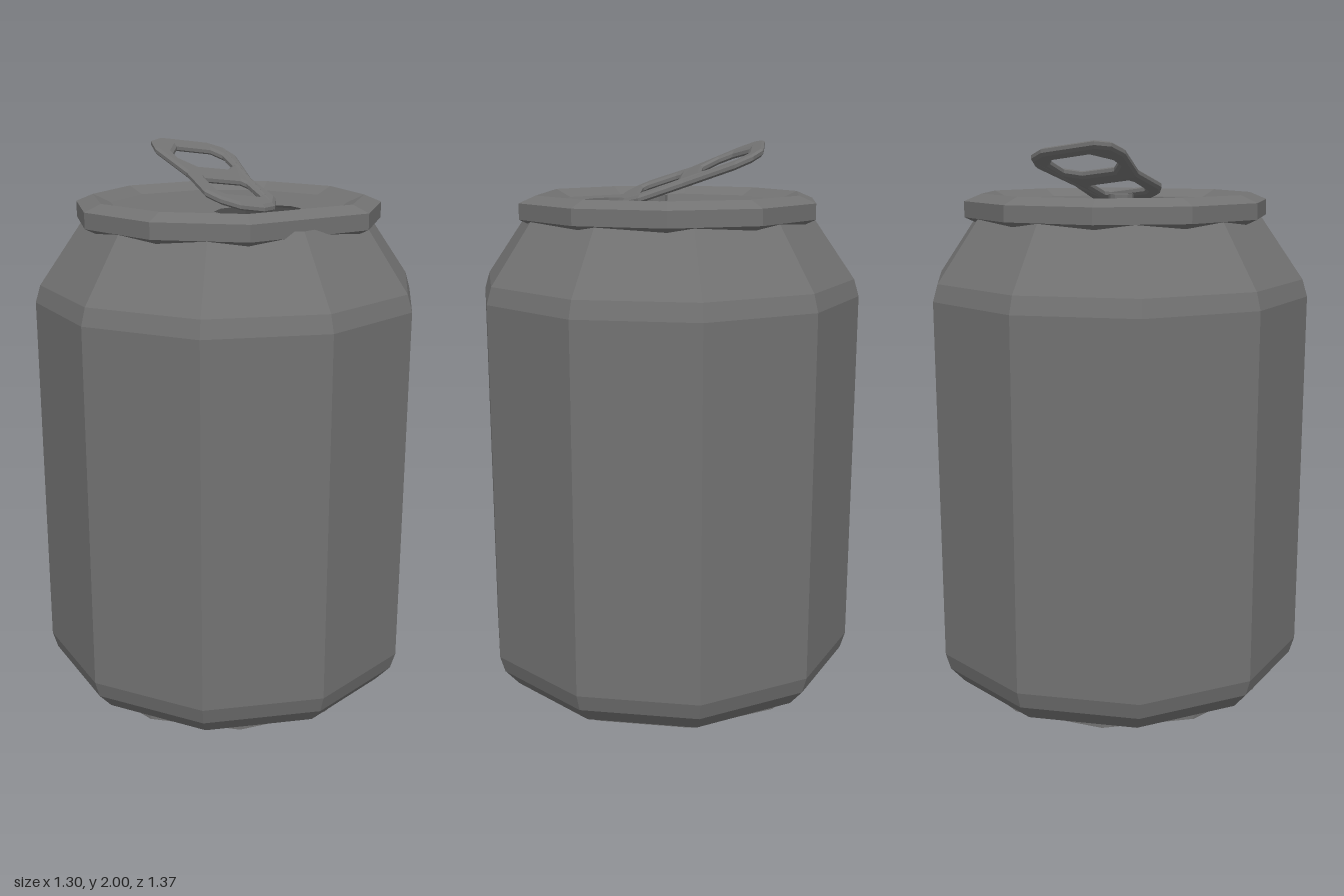
import * as THREE from 'three';

const material = new THREE.MeshStandardMaterial({
  color: 0x727272, flatShading: true, side: THREE.DoubleSide,
});

const points = (list) => list.map(([a, b]) => new THREE.Vector2(a, b));
// plan coordinates are [x, z]; shapes are drawn with y = -z and laid flat
const plan = (list) => points(list.map(([x, z]) => [x, -z]));

// ten uneven steps around the rim: nine of 2/21 turn and one wide one at the front
const rimAngles = Array.from({ length: 11 }, (_, i) =>
  Math.PI * (i < 10 ? 1 / 6 + (i * 4) / 21 : 13 / 6));

function rimLathe(profile) {
  const geometry = new THREE.LatheGeometry(points(profile), 10);
  const position = geometry.attributes.position;
  for (let k = 0; k < position.count; k++) {
    const angle = rimAngles[Math.floor(k / profile.length)];
    const r = profile[k % profile.length][0];
    position.setX(k, r * Math.sin(angle));
    position.setZ(k, r * Math.cos(angle));
  }
  return geometry;
}

export function createModel() {
  const group = new THREE.Group();
  const add = (name, geometry) => {
    const mesh = new THREE.Mesh(geometry, material);
    mesh.name = name;
    group.add(mesh);
    return mesh;
  };

  // ten-sided body with chamfered base and tapered neck
  add('body', new THREE.LatheGeometry(points([
    [0.53, 0.055], [0.615, 0.05], [0.667, 0.11], [0.685, 0.17],
    [0.685, 1.46], [0.667, 1.52], [0.503, 1.755],
  ]), 10));

  // eleven-sided foot ring with recessed base plate
  add('base', new THREE.LatheGeometry(points([
    [0, 0.03], [0.43, 0.03], [0.507, 0], [0.577, 0.03], [0.577, 0.05], [0.52, 0.062],
  ]), 11, -Math.PI / 2));

  // raised rim with a gentle inner slope
  add('rim', rimLathe([
    [0.46, 1.735], [0.5, 1.715], [0.543, 1.735], [0.543, 1.79], [0.482, 1.815], [0.42, 1.787],
  ]));

  // sunken lid with the drinking hole
  const lid = new THREE.Shape(plan(rimAngles.slice(0, 10).map((a) =>
    [0.42 * Math.sin(a), 0.42 * Math.cos(a)])));
  const opening = Array.from({ length: 10 }, (_, i) => {
    const a = (i / 10) * Math.PI * 2 + 0.3;
    return [0.005 + 0.158 * Math.cos(a), 0.2 + 0.112 * Math.sin(a)];
  });
  lid.holes.push(new THREE.Path(plan(opening)));
  add('lid', new THREE.ShapeGeometry(lid).rotateX(-Math.PI / 2).translate(0, 1.787, 0));

  // rivet under the pull tab
  add('rivet', new THREE.CylinderGeometry(0.045, 0.045, 0.022, 12))
    .position.set(0.005, 1.797, 0.044);

  // pull tab: waisted plate with two openings
  const tab = new THREE.Shape(plan([
    [-0.167, -0.236], [-0.153, -0.302], [-0.105, -0.335], [0.095, -0.345],
    [0.153, -0.316], [0.175, -0.255], [0.138, -0.073], [0.149, 0.08],
    [0.105, 0.145], [0.05, 0.171], [-0.044, 0.171], [-0.105, 0.135],
    [-0.138, 0.084], [-0.127, -0.069],
  ]));
  // openings run against the outline so that their bevels widen outwards
  tab.holes.push(
    new THREE.Path(plan([
      [-0.105, -0.22], [-0.105, -0.171], [-0.058, -0.12], [0.065, -0.127],
      [0.113, -0.171], [0.116, -0.255], [0.084, -0.29], [-0.058, -0.284],
    ])),
    new THREE.Path(plan([
      [-0.07, -0.038], [-0.077, -0.02], [-0.077, 0.08], [-0.062, 0.097],
      [0.07, 0.09], [0.09, 0.073], [0.09, -0.028], [0.076, -0.046],
    ])),
  );
  const tabGeometry = new THREE.ExtrudeGeometry(tab, {
    depth: 0.012, bevelEnabled: true, bevelSegments: 1,
    bevelThickness: 0.008, bevelSize: 0.01, bevelOffset: -0.01,
  }).rotateX(-Math.PI / 2);
  // lift the tab towards the back, leaning sideways, a little flatter in front of the waist
  const position = tabGeometry.attributes.position;
  for (let k = 0; k < position.count; k++) {
    const z = position.getZ(k) + 0.07;
    position.setY(k, position.getY(k) + 1.863
      - 0.15 * position.getX(k) - (z < 0 ? 0.38 : 0.33) * z);
  }
  tabGeometry.computeVertexNormals();
  add('pullTab', tabGeometry);

  return group;
}
